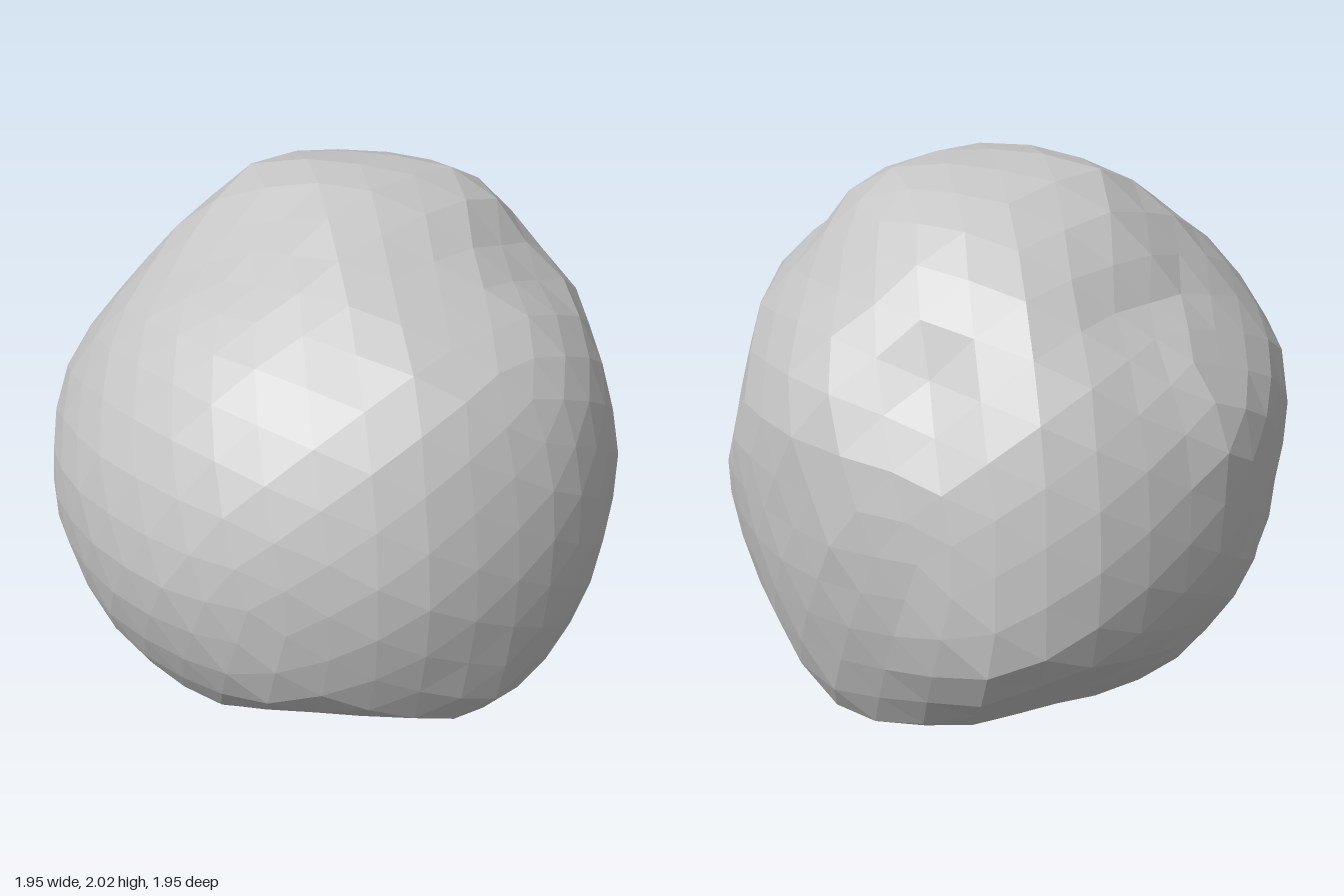
import * as THREE from 'three';

// Outline radii every 15 degrees around three great circles
const ringXY = [.965, .985, .985, .98, 1.01, 1.025, 1.02, .925, .905, .93, .945, .965,
  .98, .975, .97, .96, .955, .92, .9, 1.02, 1.04, 1.08, 1.03, .985];
const ringZY = [.97, .985, 1, .975, .935, .97, 1.01, 1.035, .96, .89, .96, 1,
  .97, .965, .945, .97, .99, .94, .95, .97, .955, .965, 1, .98];
const ringXZ = [.965, .96, .975, .975, .94, .955, .97, .985, 1, .995, .995, 1,
  .98, .97, .975, .965, .93, .945, .97, 1.005, 1.03, 1, .97, 1];

// Flat chipped faces: direction and distance from the centre
const cuts = [
  [-.45, -.8, .4, .89], [-.1, .85, .5, .93], [-.3, .65, -.7, .905],
  [-.5, .8, .1, .905], [-.49, -.05, -.87, .89], [.75, .25, .6, .92],
  [.35, -.75, .55, .935], [.2, -.72, -.66, .915], [-.75, -.45, -.5, .94],
].map(([x, y, z, d]) => ({ n: new THREE.Vector3(x, y, z).normalize(), d }));

// Corners and dents: direction, height, sharpness
const bumps = [
  [.2, -.99, .03, .04, 60], [.43, .93, .22, .05, 50], [.94, .39, -.12, .04, 45],
  [.7, -.35, -.72, .08, 25], [.5, .6, -.67, .06, 30], [-.18, -.56, .82, .04, 40],
  [.83, -.73, -.1, .03, 50], [-.05, .39, -.95, .03, 50], [-.2, .65, .73, .03, 50],
  [-.79, -.36, .55, .03, 50], [-.12, .85, -.44, .03, 50],
  [.38, .74, .45, -.05, 60], [.72, .5, -.45, -.055, 60], [-.35, -.88, -.4, .03, 40],
].map(([x, y, z, h, k]) => ({ n: new THREE.Vector3(x, y, z).normalize(), h, k }));

function ringRadius(ring, a, b) {
  const t = ((Math.atan2(b, a) / (2 * Math.PI) + 1) % 1) * 24;
  const i = Math.floor(t) % 24;
  return THREE.MathUtils.lerp(ring[i], ring[(i + 1) % 24], t - Math.floor(t));
}

function rockRadius(d) {
  // Blend the rings by closeness to each plane
  let sum = 0, total = 0;
  for (const [ring, a, b, off] of [
    [ringXY, d.x, d.y, d.z], [ringZY, d.z, d.y, d.x], [ringXZ, d.x, d.z, d.y],
  ]) {
    const w = 1 / (off * off + .01);
    sum += w * ringRadius(ring, a, b);
    total += w;
  }
  let r = sum / total;
  for (const { n, h, k } of bumps) r += h * Math.exp(-k * (1 - d.dot(n)));
  for (const { n, d: dist } of cuts) {
    const c = d.dot(n);
    if (c > .5) r += .85 * Math.min(0, dist / c - r);
  }
  // Fine unevenness
  return r + .005 * Math.sin(9 * d.x + 4 * d.y) * Math.sin(8 * d.z - 5 * d.y + 1);
}

export function createModel() {
  const group = new THREE.Group();
  group.name = 'boulder';

  const geometry = new THREE.IcosahedronGeometry(1, 6);
  const pos = geometry.attributes.position;
  const v = new THREE.Vector3();
  for (let i = 0; i < pos.count; i++) {
    v.fromBufferAttribute(pos, i).normalize();
    v.multiplyScalar(rockRadius(v));
    pos.setXYZ(i, v.x, v.y, v.z);
  }

  // Centre and stand on the ground
  geometry.center();
  geometry.translate(0, -geometry.boundingBox.min.y, 0);
  geometry.computeVertexNormals();

  const stone = new THREE.MeshStandardMaterial({ color: 0xc4c4c4, flatShading: true });
  stone.name = 'light grey stone';
  const rock = new THREE.Mesh(geometry, stone);
  rock.name = 'rock';
  group.add(rock);
  return group;
}
